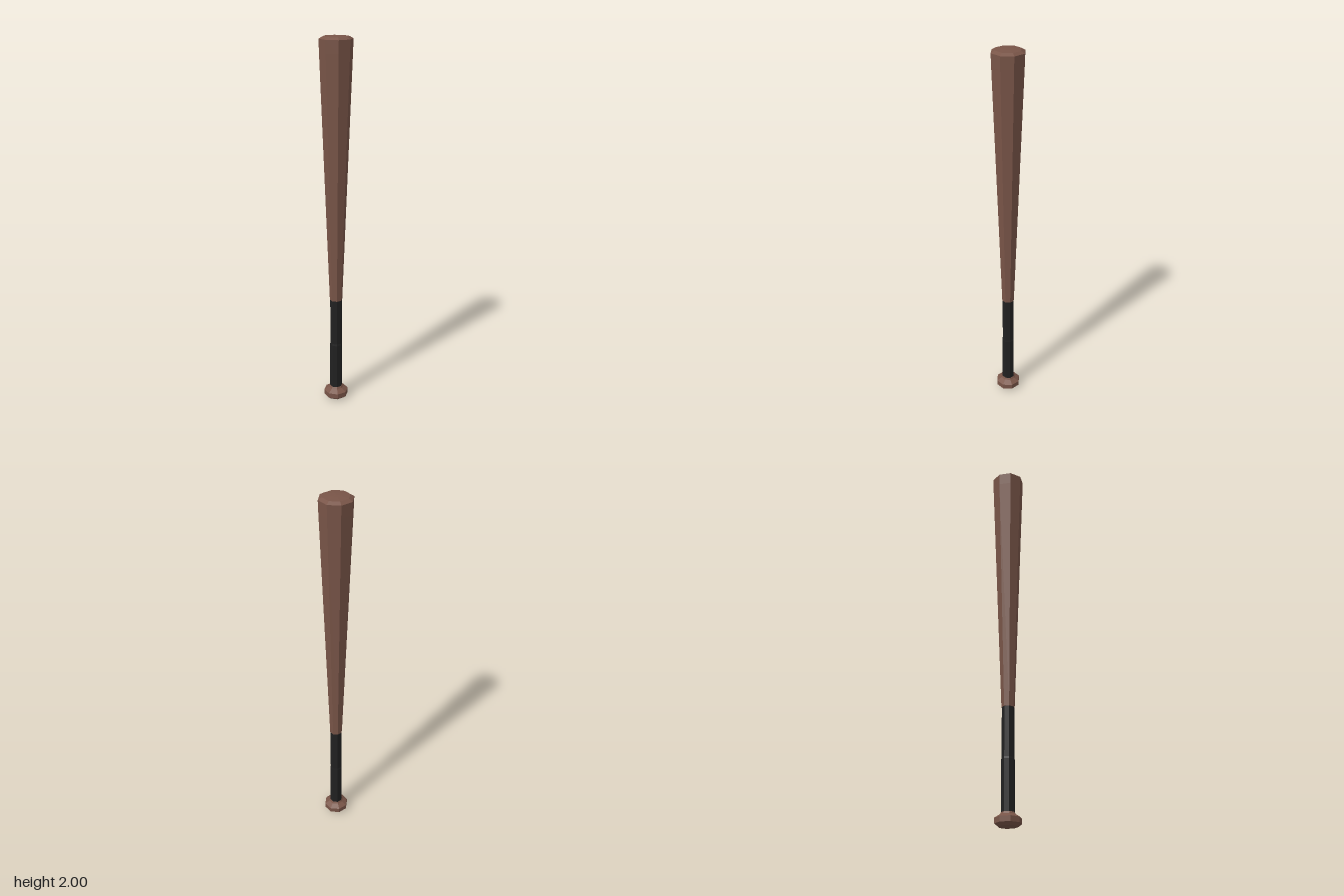
import * as THREE from 'three';

const wood = new THREE.MeshStandardMaterial({ color: 0x795548, flatShading: true });
const wrap = new THREE.MeshStandardMaterial({ color: 0x212121, flatShading: true });

// Eight-sided turned part from [radius, height] pairs, bottom to top
function turned(name, profile, material) {
  const points = profile.map(([r, y]) => new THREE.Vector2(r, y));
  const mesh = new THREE.Mesh(new THREE.LatheGeometry(points, 8), material);
  mesh.name = name;
  return mesh;
}

export function createModel() {
  const bat = new THREE.Group();
  bat.name = 'bat';

  // Knob flares out at the base and necks in to the grip
  bat.add(turned('knob', [
    [0, 0], [0.05, 0.004], [0.067, 0.018], [0.067, 0.045], [0.04, 0.062], [0.034, 0.072], [0, 0.072],
  ], wood));

  // Dark handle wrap, a touch thicker in its lower half
  bat.add(turned('grip', [
    [0, 0.07], [0.034, 0.07], [0.034, 0.33], [0.032, 0.34], [0.032, 0.6], [0, 0.6],
  ], wrap));

  // Long tapered barrel with a bevelled, slightly domed end
  bat.add(turned('barrel', [
    [0, 0.6], [0.034, 0.6], [0.084, 1.92], [0.086, 1.985], [0.067, 1.996], [0.03, 1.999], [0, 2],
  ], wood));

  return bat;
}
